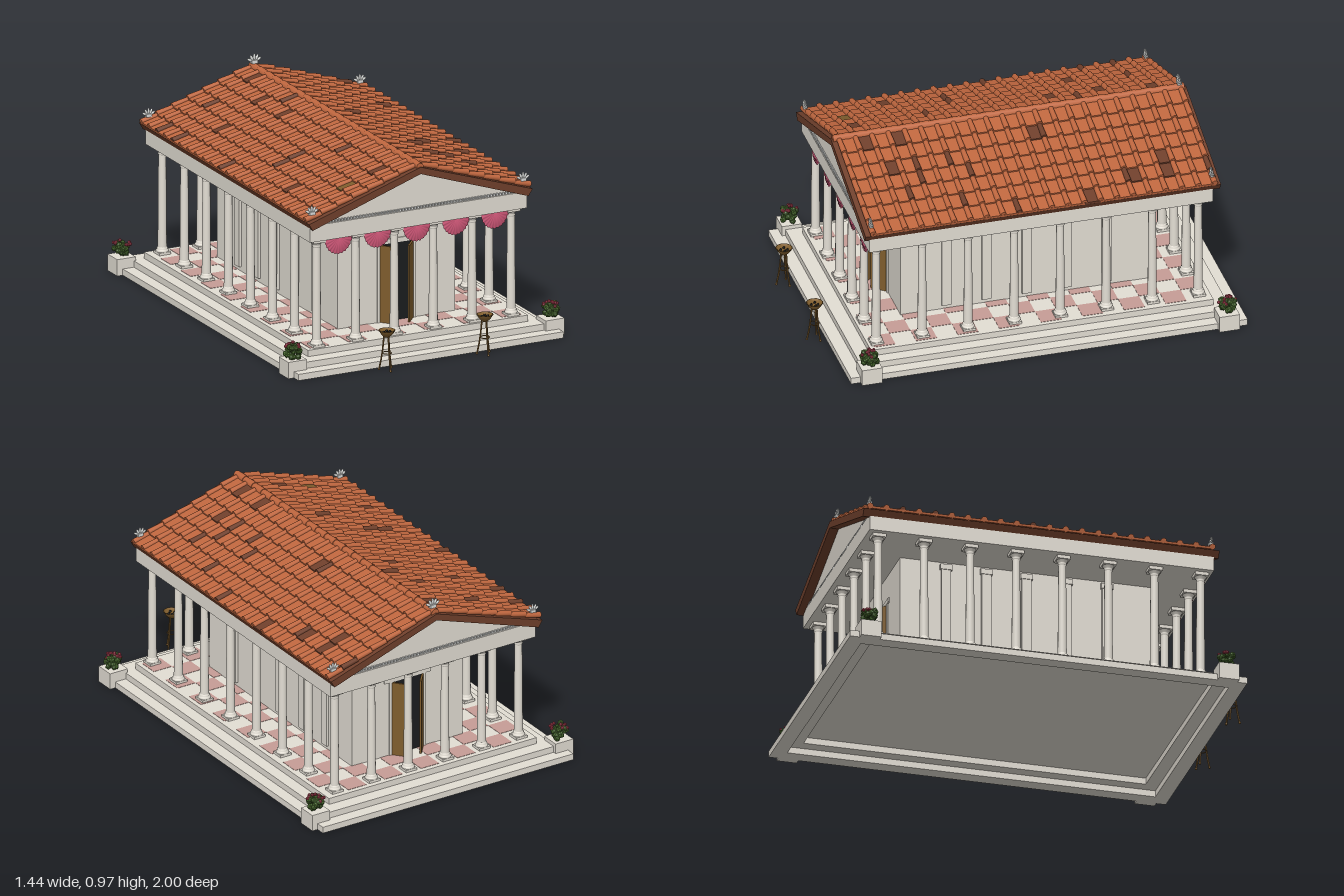
import * as THREE from 'three';
import { mergeGeometries } from 'three/addons/utils/BufferGeometryUtils.js';

const mat = (name, color, opts = {}) => {
  const m = new THREE.MeshStandardMaterial({ color, ...opts });
  m.name = name;
  return m;
};
const M = {
  marble: mat('marble', 0xe3ded4),
  pale: mat('paleStone', 0xdcdedc),
  rose: mat('roseMarble', 0xc79d96),
  tile: mat('terracotta', 0xc0673f),
  dark: mat('darkTerracotta', 0x70402c),
  wood: mat('bronzeWood', 0x7f5d2d),
  black: mat('darkInterior', 0x1b1d1f),
  green: mat('leaf', 0x48692e, { flatShading: true }),
  cloth: mat('pinkCloth', 0xd15879, { side: THREE.DoubleSide }),
  red: mat('redFlower', 0xb03c50, { flatShading: true }),
};

const ZC = -0.046;       // middle of the building along z
const FLOOR = 0.092;     // top of the steps
const CEIL = 0.616;      // underside of the beams
const SLOPE = 0.33, RIDGE = 0.905, THETA = Math.atan(SLOPE);

let seed = 7;
const rnd = () => (seed = (seed * 16807) % 2147483647) / 2147483647;

function add(parent, name, geo, material, x = 0, y = 0, z = 0) {
  const m = new THREE.Mesh(geo, material);
  m.name = name;
  m.position.set(x, y, z);
  parent.add(m);
  return m;
}
const box = (w, h, d) => new THREE.BoxGeometry(w, h, d);
const lathe = (pts, n) => new THREE.LatheGeometry(pts.map(p => new THREE.Vector2(...p)), n);
const outline = pts => pts.map(p => new THREE.Vector2(...p));
function group(parent, name, x = 0, y = 0, z = 0) {
  const g = new THREE.Group();
  g.name = name;
  g.position.set(x, y, z);
  parent.add(g);
  return g;
}
// Solid prism from an outline in x and y, running from z0 to z1
function prism(points, z0, z1) {
  const s = new THREE.Shape(outline(points));
  return new THREE.ExtrudeGeometry(s, { depth: z1 - z0, bevelEnabled: false }).translate(0, 0, z0);
}
// Flat rectangular kerb, open in the middle
function kerb(x, z, width, h) {
  const rect = (a, b) => outline([[-a, -b], [a, -b], [a, b], [-a, b]]);
  const s = new THREE.Shape(rect(x, z));
  s.holes.push(new THREE.Path(rect(x - width, z - width)));
  return new THREE.ExtrudeGeometry(s, { depth: h, bevelEnabled: false }).rotateX(-Math.PI / 2);
}

// Finely fluted shaft, base and capital, standing on y = 0
function columnGeometry() {
  const h = CEIL - FLOOR;
  const shaft = new THREE.CylinderGeometry(0.018, 0.0215, h - 0.06, 32, 1, true);
  const p = shaft.attributes.position;
  for (let i = 0; i < p.count; i++) {
    const k = Math.round(Math.atan2(p.getX(i), p.getZ(i)) / (Math.PI / 16));
    const f = k % 2 ? 0.95 : 1;
    p.setXYZ(i, p.getX(i) * f, p.getY(i), p.getZ(i) * f);
  }
  shaft.translate(0, h / 2, 0);
  const base = lathe([[0.029, 0.01], [0.031, 0.016], [0.028, 0.021], [0.024, 0.024], [0.026, 0.029], [0.021, 0.034]], 16);
  const cap = lathe([[0.018, h - 0.042], [0.021, h - 0.037], [0.019, h - 0.033], [0.02, h - 0.028], [0.028, h - 0.016]], 16);
  return mergeGeometries([
    shaft, base, cap,
    box(0.06, 0.012, 0.06).translate(0, 0.006, 0),
    box(0.064, 0.016, 0.064).translate(0, h - 0.008, 0),
  ]);
}

// Half-round hanging with soft folds and a scalloped hem
function swagGeometry() {
  const g = new THREE.PlaneGeometry(1, 1, 48, 5);
  const p = g.attributes.position;
  for (let i = 0; i < p.count; i++) {
    const u = p.getX(i) + 0.5, v = p.getY(i) + 0.5;
    const a = Math.PI * (1 + u), fold = Math.cos(u * Math.PI * 24);
    const r = v * (1 + 0.025 * fold);
    p.setXYZ(i, Math.cos(a) * 0.071 * r, Math.sin(a) * 0.08 * r, 0.006 * Math.sin(v * Math.PI) + 0.0012 * v * fold);
  }
  g.computeVertexNormals();
  return g;
}

// Doorway facing +z with two leaves standing ajar
function doorway(parent, z, turn) {
  const g = group(parent, 'doorway', 0, FLOOR, z);
  g.rotation.y = turn;
  add(g, 'doorOpening', box(0.166, 0.378, 0.006), M.black, 0, 0.189, 0);
  add(g, 'lintel', box(0.256, 0.022, 0.012), M.marble, 0, 0.389, 0);
  for (const s of [-1, 1]) {
    add(g, 'doorJamb', box(0.018, 0.378, 0.01), M.marble, s * 0.092, 0.189, 0);
    const leaf = add(g, 'doorLeaf', box(0.08, 0.374, 0.009), M.wood, s * 0.058, 0.188, 0.032);
    leaf.rotation.y = s * Math.atan2(0.06, 0.05);
  }
}

// Fan of petals
function palmette(parent, x, y, z, size) {
  const g = group(parent, 'roofPalmette', x, y, z);
  g.scale.setScalar(size);
  add(g, 'palmetteFoot', box(0.03, 0.016, 0.018), M.pale, 0, 0.005, 0);
  for (let i = -2; i <= 2; i++) {
    const petal = new THREE.SphereGeometry(1, 8, 6).scale(0.007, 0.017 - Math.abs(i) * 0.001, 0.005);
    add(g, 'petal', petal.translate(0, 0.026, 0).rotateZ(-i * 0.5), M.pale);
  }
}

function planter(parent, x, z) {
  const g = group(parent, 'planter', x, 0, z);
  add(g, 'pedestal', box(0.097, 0.08, 0.097), M.marble, 0, 0.04, 0);
  const leaf = new THREE.IcosahedronGeometry(0.0155, 0), bloom = new THREE.IcosahedronGeometry(0.009, 0);
  for (let i = 0; i < 38; i++) {
    const a = i * 2.4, flower = i % 4 === 0, r = (flower ? 0.042 : 0.036) * Math.sqrt(rnd());
    const y = flower ? 0.158 - r * 0.5 : 0.091 + rnd() * 0.05;
    const m = add(g, flower ? 'flower' : 'leaves', flower ? bloom : leaf, flower ? M.red : M.green,
      Math.cos(a) * r, y, Math.sin(a) * r);
    m.rotation.set(rnd() * 3, rnd() * 3, 0);
  }
}

function brazier(parent, x, z) {
  const g = group(parent, 'brazier', x, 0, z);
  add(g, 'bowl', lathe([[0, 0.16], [0.014, 0.163], [0.028, 0.177], [0.04, 0.196], [0.036, 0.197], [0.028, 0.186], [0, 0.182]], 12), M.wood);
  for (let i = 0; i < 4; i++)
    add(g, 'coal', new THREE.IcosahedronGeometry(0.007, 0), M.black, Math.cos(i * 1.7) * 0.015, 0.187, Math.sin(i * 1.7) * 0.015);
  add(g, 'brace', new THREE.TorusGeometry(0.021, 0.0025, 5, 16).rotateX(Math.PI / 2), M.wood, 0, 0.085, 0);
  const path = new THREE.CatmullRomCurve3([[0.014, 0.17], [0.018, 0.12], [0.026, 0.06], [0.037, 0.004]]
    .map(([r, y]) => new THREE.Vector3(r, y, 0)));
  for (let i = 0; i < 3; i++) {
    const leg = group(g, 'brazierLeg');
    leg.rotation.y = Math.PI / 6 + i * Math.PI * 2 / 3;
    add(leg, 'legRod', new THREE.TubeGeometry(path, 10, 0.0042, 6), M.wood);
    add(leg, 'foot', new THREE.SphereGeometry(0.006, 8, 6), M.wood, 0.037, 0.006, 0);
  }
}

function roof(parent) {
  const g = group(parent, 'roof');
  const e = 0.582, b = 0.562;
  add(g, 'roofDeck', prism([[0, RIDGE], [-e, RIDGE - SLOPE * e], [-b, 0.68], [0, 0.872], [b, 0.68], [e, RIDGE - SLOPE * e]],
    -0.903, 0.806), M.dark);
  // Weathered pan and cover tiles, listed as side:course,row
  const wornPans = new Set(('L:1,4 L:4,5 L:1,7 L:5,16 L:1,19 L:0,1 ' +
    'R:4,2 R:5,2 R:5,4 R:6,7 R:1,9 R:0,17 R:2,18 R:0,19').split(' '));
  const wornCovers = new Set(('L:6,2 L:3,2 L:6,4 L:6,10 L:4,13 L:3,13 L:1,15 L:0,6 ' +
    'R:5,0 R:5,5 R:1,9 R:6,12 R:3,14 R:2,15 R:5,15 R:2,17 R:3,17 R:4,18').split(' '));
  const step = 0.0805, row = 0.0783, z0 = -0.873, len = step / Math.cos(THETA) + 0.004;
  const plain = [], weathered = [], mossy = [];
  for (const s of [-1, 1]) for (let c = 0; c < 7; c++) {
    const d = 0.02 + (c + 0.5) * step, y = RIDGE - SLOPE * d;
    const place = (geo, dy, z) => {
      geo.rotateZ(0.09 - THETA);
      if (s < 0) geo.rotateY(Math.PI);
      return geo.translate(s * d, y + dy, z);
    };
    for (let r = 0; r < 22; r++) {
      const key = (s < 0 ? 'L:' : 'R:') + c + ',' + r;
      (wornCovers.has(key) ? weathered : plain)
        .push(place(new THREE.CylinderGeometry(0.012, 0.0145, len, 10).rotateZ(Math.PI / 2), 0.011, z0 + r * row));
      if (r === 21) continue;
      const list = key === 'L:3,19' ? mossy : wornPans.has(key) ? weathered : plain;
      list.push(place(box(len, 0.011, row), 0.005, z0 + (r + 0.5) * row));
    }
  }
  const ridgeLen = 1.69 / 22;
  for (let r = 0; r < 22; r++)
    plain.push(new THREE.CylinderGeometry(0.018, 0.021, ridgeLen, 10).rotateX(Math.PI / 2)
      .translate(0, RIDGE, ZC - 0.845 + (r + 0.5) * ridgeLen));
  add(g, 'roofTiles', mergeGeometries(plain), M.tile);
  add(g, 'weatheredTiles', mergeGeometries(weathered), M.dark);
  add(g, 'mossyTile', mergeGeometries(mossy), M.wood);
  for (const s of [-1, 1]) for (const z of [0.772, -0.868]) palmette(g, s * 0.55, 0.75, z, 0.95);
  palmette(g, 0, 0.928, -0.868, 1.05);
}

export function createModel() {
  const model = new THREE.Group();
  model.name = 'temple';

  // Two kerb steps, the platform and its chequered floor
  const rise = FLOOR / 3;
  add(model, 'lowerStep', kerb(0.69, 0.954, 0.07, rise), M.marble, 0, 0, ZC);
  add(model, 'middleStep', kerb(0.632, 0.892, 0.07, rise), M.marble, 0, rise, ZC);
  add(model, 'platform', box(1.144, rise, 1.648), M.marble, 0, rise * 2.5, ZC);
  const slabs = [];
  for (let i = 0; i < 11; i++) for (let j = 0; j < 16; j++)
    if ((i + j) % 2) slabs.push(box(0.1, 0.003, 0.1).translate((i - 5) * 0.1, FLOOR, ZC + (j - 7.5) * 0.1));
  add(model, 'roseFloorSlabs', mergeGeometries(slabs), M.rose);

  // Inner chamber with pilasters and a door at each end
  const mid = (FLOOR + CEIL) / 2, h = CEIL - FLOOR;
  add(model, 'chamber', box(0.61, h, 1.21), M.marble, 0, mid, ZC);
  for (const s of [-1, 1]) for (let i = -2; i <= 2; i++) {
    const z = ZC + i * 0.193;
    add(model, 'pilaster', box(0.02, h - 0.05, 0.046), M.marble, s * 0.308, mid - 0.003, z);
    add(model, 'pilasterCap', box(0.028, 0.026, 0.058), M.marble, s * 0.308, CEIL - 0.026, z);
  }
  doorway(model, ZC + 0.606, 0);
  doorway(model, ZC - 0.606, Math.PI);

  // Ring of columns: six across, eight along
  const column = columnGeometry();
  for (let i = 0; i < 6; i++) for (let j = 0; j < 8; j++)
    if (i % 5 === 0 || j % 7 === 0)
      add(model, 'column', column, M.marble, (i - 2.5) * 0.2025, FLOOR, -0.04 + (j - 3.5) * 0.2214);

  // Beams, gables and dentils
  add(model, 'entablature', box(1.13, 0.08, 1.655), M.marble, 0, CEIL + 0.04, ZC + 0.003);
  add(model, 'gable', prism([[-0.54, 0.69], [0.54, 0.69], [0, 0.885]], -0.86, 0.775), M.marble);
  const dentils = [];
  for (const z of [0.778, -0.863]) for (let i = -33; i <= 33; i++)
    dentils.push(box(0.009, 0.01, 0.012).translate(i * 0.0158, 0.703, z));
  add(model, 'dentils', mergeGeometries(dentils), M.pale);

  roof(model);

  // Cloth swags between the front columns
  const swag = swagGeometry();
  for (let i = -2; i <= 2; i++) add(model, 'swag', swag, M.cloth, i * 0.2035, CEIL - 0.002, 0.764);

  for (const s of [-1, 1]) {
    planter(model, s * 0.67, ZC + 0.86);
    planter(model, s * 0.67, ZC - 0.86);
    brazier(model, s * 0.255, 0.958);
  }
  return model;
}
